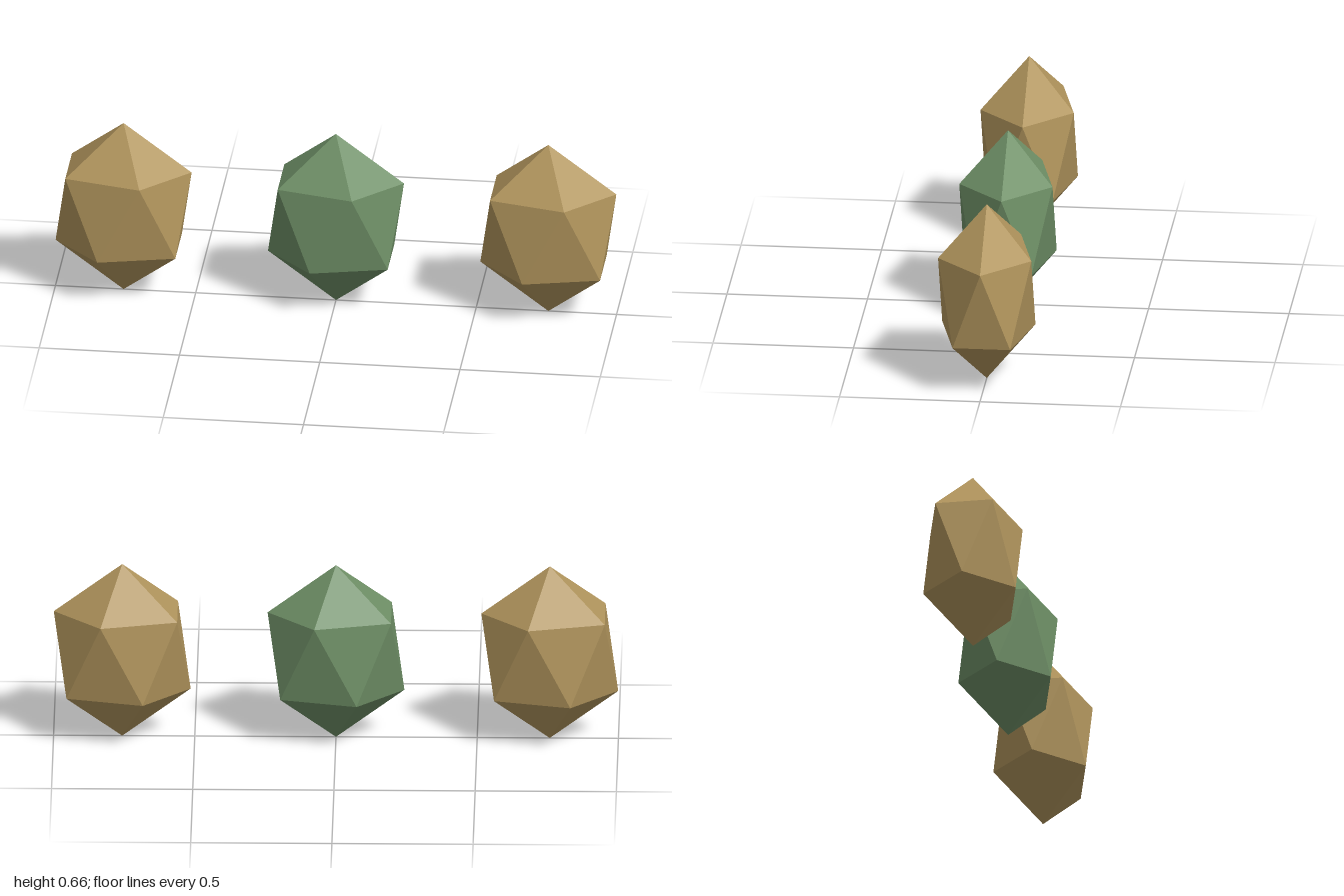
import * as THREE from 'three';

export function createModel() {
  const model = new THREE.Group();

  // Icosahedron turned to stand on a vertex, stretched tall and narrowed in depth
  const golden = (1 + Math.sqrt(5)) / 2;
  const gem = new THREE.IcosahedronGeometry(1, 0);
  gem.rotateZ(-Math.atan(1 / golden));
  gem.scale(0.271, 0.328, 0.195);
  gem.translate(0, 0.33, 0);

  const gold = new THREE.MeshStandardMaterial({ color: 0xb0945c, flatShading: true });
  const green = new THREE.MeshStandardMaterial({ color: 0x6e8f66, flatShading: true });

  // Row of three identical gems
  const gems = [
    ['rightGem', -0.757, gold],
    ['middleGem', 0, green],
    ['leftGem', 0.757, gold],
  ];
  for (const [name, x, material] of gems) {
    const mesh = new THREE.Mesh(gem, material);
    mesh.name = name;
    mesh.position.x = x;
    model.add(mesh);
  }
  return model;
}
